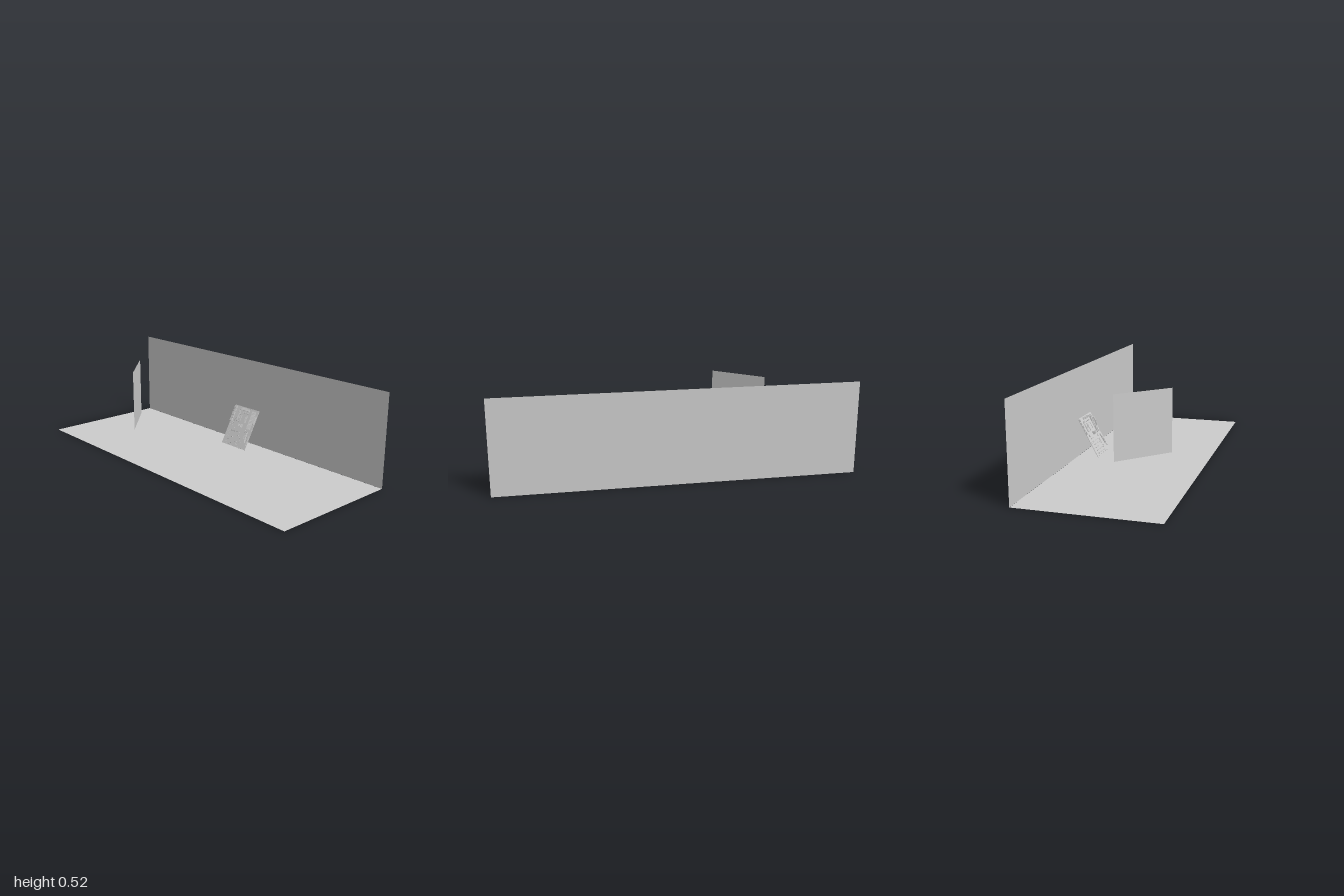
import * as THREE from 'three';

const grey = new THREE.MeshStandardMaterial({ color: 0xcccccc, flatShading: true });
const thin = new THREE.MeshStandardMaterial({ color: 0xcccccc, side: THREE.DoubleSide });
const T = 0.003; // board thickness

function add(parent, name, geometry, x, y, z, material = grey) {
  const mesh = new THREE.Mesh(geometry, material);
  mesh.name = name;
  mesh.position.set(x, y, z);
  parent.add(mesh);
  return mesh;
}

// Block standing on the board: centre (x, v), size (w, h), height d
const block = (parent, name, x, v, w, h, d) =>
  add(parent, name, new THREE.BoxGeometry(w, h, d), x, v, T + d / 2);

// Long connector with an open slot along its length
function slot(parent, name, x, v, length, width, depth, vertical) {
  const shape = new THREE.Shape();
  const hole = new THREE.Path();
  const rect = (p, w, h) => p.moveTo(-w, -h).lineTo(w, -h).lineTo(w, h).lineTo(-w, h).closePath();
  rect(shape, length / 2, width / 2);
  rect(hole, length / 2 - 0.002, width / 6);
  shape.holes.push(hole);
  const geometry = new THREE.ExtrudeGeometry(shape, { depth, bevelEnabled: false });
  const mesh = add(parent, name, geometry, x, v, T);
  if (vertical) mesh.rotation.z = Math.PI / 2;
}

function createBoard() {
  const board = new THREE.Group();
  board.name = 'circuitBoard';

  // Base plate with mounting holes
  const outline = new THREE.Shape();
  outline.moveTo(-0.1, 0).lineTo(0.1, 0).lineTo(0.1, 0.252).lineTo(-0.1, 0.252).closePath();
  for (const x of [-0.09, 0.03, 0.094]) {
    for (const v of [0.008, 0.13, 0.245]) {
      outline.holes.push(new THREE.Path().absarc(x, v, 0.002, 0, Math.PI * 2, true));
    }
  }
  add(board, 'basePlate', new THREE.ExtrudeGeometry(outline, { depth: T, bevelEnabled: false, curveSegments: 6 }), 0, 0, 0);

  // Rear ports along the left edge
  [[0.238, 0.016], [0.218, 0.014], [0.197, 0.018], [0.175, 0.014], [0.155, 0.016]].forEach(([v, h], i) =>
    block(board, 'port', -0.091, v, 0.018, h, i % 2 ? 0.007 : 0.009));

  // Processor socket: frame, plate and lever
  const socket = new THREE.Group();
  socket.name = 'processorSocket';
  board.add(socket);
  for (const s of [-1, 1]) {
    block(socket, 'socketFrame', s * 0.021, 0.182, 0.004, 0.046, 0.004);
    block(socket, 'socketFrame', 0, 0.182 + s * 0.021, 0.038, 0.004, 0.004);
  }
  block(socket, 'processor', 0, 0.182, 0.03, 0.03, 0.003);
  block(socket, 'socketLever', 0.026, 0.182, 0.0015, 0.046, 0.003);

  // Finned coolers beside and above the socket
  const cooler = new THREE.Group();
  cooler.name = 'cooler';
  board.add(cooler);
  block(cooler, 'coolerBase', -0.053, 0.19, 0.02, 0.07, 0.004);
  block(cooler, 'coolerBase', -0.005, 0.238, 0.07, 0.016, 0.004);
  for (let i = 0; i < 9; i++) {
    block(cooler, 'coolerFin', -0.053, 0.159 + i * 0.0078, 0.018, 0.003, 0.009);
    block(cooler, 'coolerFin', -0.037 + i * 0.008, 0.238, 0.003, 0.014, 0.01);
  }
  const pipe = new THREE.CatmullRomCurve3([[-0.053, 0.212], [-0.046, 0.232], [-0.03, 0.238]]
    .map(([x, v]) => new THREE.Vector3(x, v, 0.009)));
  add(cooler, 'heatPipe', new THREE.TubeGeometry(pipe, 8, 0.002, 6), 0, 0, 0);

  // Memory slots with end latches
  for (let i = 0; i < 4; i++) {
    const x = 0.054 + i * 0.008;
    slot(board, 'memorySlot', x, 0.183, 0.106, 0.005, 0.005, true);
    for (const v of [0.128, 0.238]) block(board, 'memoryLatch', x, v, 0.005, 0.005, 0.007);
  }

  // Expansion slots
  [[0.112, 0.03], [0.092, 0.085], [0.073, 0.085], [0.054, 0.04], [0.035, 0.085], [0.017, 0.085]]
    .forEach(([v, length]) => slot(board, 'expansionSlot', -0.07 + length / 2, v, length, 0.006, 0.006));

  // Chipset with a tall finned block
  block(board, 'chipsetBase', 0.0, 0.135, 0.026, 0.02, 0.006);
  for (let i = 0; i < 5; i++) block(board, 'chipsetFin', -0.01 + i * 0.005, 0.135, 0.002, 0.018, 0.015);
  block(board, 'controllerChip', 0.045, 0.075, 0.026, 0.026, 0.003);
  block(board, 'smallChip', -0.085, 0.09, 0.01, 0.012, 0.002);
  block(board, 'smallChip', -0.085, 0.055, 0.008, 0.01, 0.002);
  block(board, 'smallChip', 0.04, 0.035, 0.01, 0.008, 0.002);

  // Slanted ribbon connector, power and drive connectors
  slot(board, 'driveConnector', 0.074, 0.075, 0.07, 0.005, 0.006, true);
  board.children.at(-1).rotation.z += 0.12;
  slot(board, 'powerConnector', 0.093, 0.19, 0.052, 0.01, 0.01, true);
  for (let i = 0; i < 4; i++) block(board, 'dataConnector', 0.092, 0.03 + i * 0.017, 0.012, 0.01, 0.006);

  // Pin headers along the lower edge
  for (let i = 0; i < 5; i++) block(board, 'pinHeader', -0.07 + i * 0.034, 0.006, 0.018, 0.004, 0.004);

  // Battery and capacitors
  const disc = (name, x, v, r, h, sides) => {
    add(board, name, new THREE.CylinderGeometry(r, r, h, sides), x, v, T + h / 2).rotation.x = Math.PI / 2;
  };
  disc('battery', 0.045, 0.112, 0.01, 0.003, 16);
  for (let i = 0; i < 6; i++) {
    disc('capacitor', -0.035, 0.158 + i * 0.009, 0.0028, 0.007, 8);
    disc('capacitor', -0.02 + i * 0.009, 0.217, 0.0028, 0.007, 8);
    disc('capacitor', -0.078 + (i % 2) * 0.008, 0.122 + i * 0.004, 0.002, 0.005, 8);
    disc('capacitor', 0.025 + (i % 3) * 0.006, 0.018 + i * 0.014, 0.002, 0.005, 8);
  }

  // Lean the board back towards the wall
  board.rotation.x = -0.5;
  board.position.z = -0.257;
  return board;
}

export function createModel() {
  const model = new THREE.Group();
  model.name = 'displayScene';

  // Floor and back wall
  add(model, 'floor', new THREE.PlaneGeometry(2, 0.755), 0, 0, 0, thin).rotation.x = -Math.PI / 2;
  add(model, 'backWall', new THREE.PlaneGeometry(2, 0.525), 0, 0.2625, -0.378, thin);

  // Free-standing panel turned diagonally
  const panel = add(model, 'sidePanel', new THREE.PlaneGeometry(0.35, 0.35), -0.456, 0.31, 0.125, thin);
  panel.rotation.y = -Math.atan2(0.24, 0.253);

  model.add(createBoard());
  return model;
}
